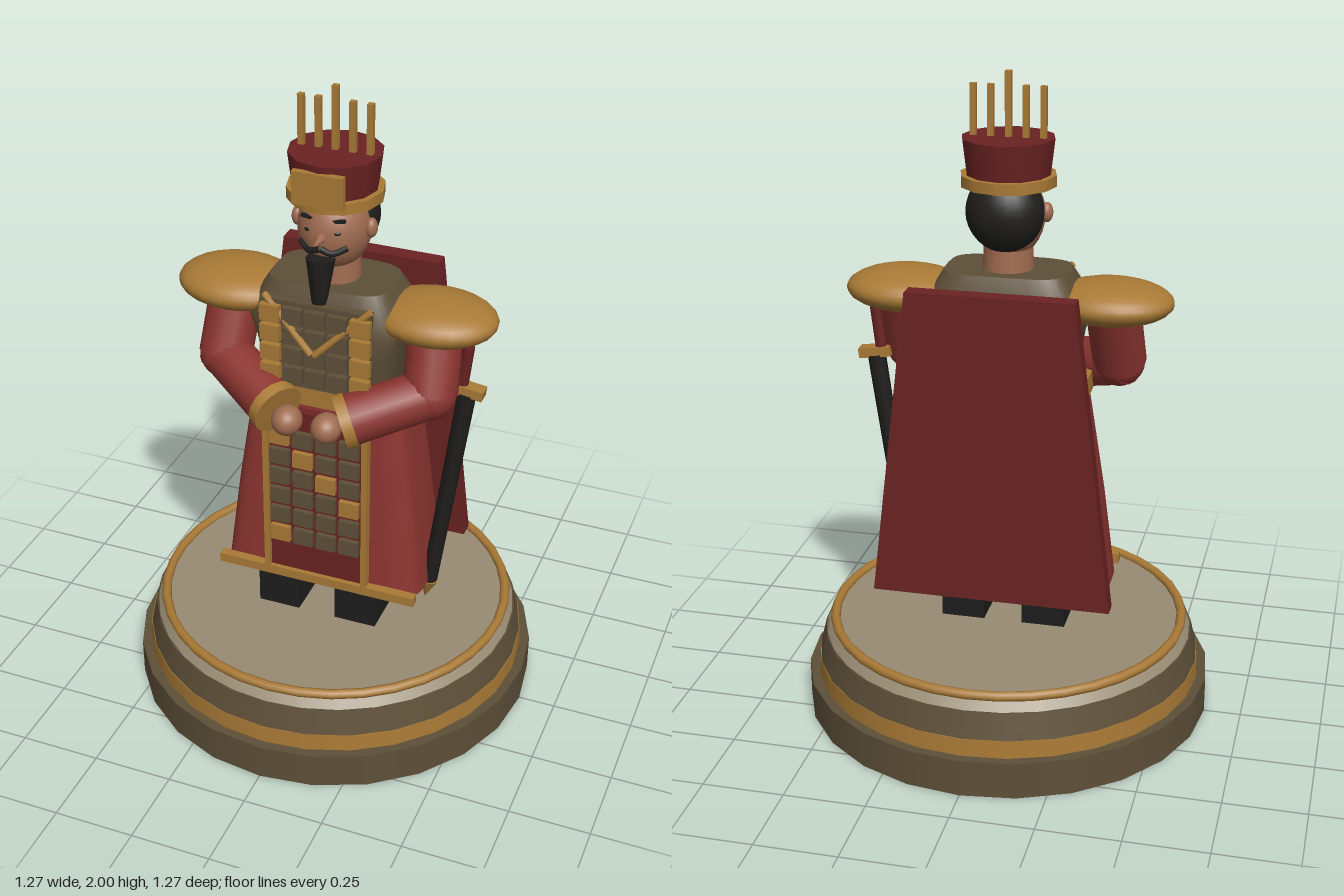
import * as THREE from 'three';
import { toCreasedNormals } from 'three/addons/utils/BufferGeometryUtils.js';

const mat = (color) => new THREE.MeshStandardMaterial({ color });
const RED = mat(0x8c3530), DARK = mat(0x6a2222), GOLD = mat(0xa97a36), OLIVE = mat(0x5e5039),
  STONE = mat(0x988b74), SKIN = mat(0xa06c50), BLACK = mat(0x1f1e1d);
const V = (x, y, z) => new THREE.Vector3(x, y, z);

// Stacked rounded-rectangle sections: rows of [y, halfX, halfZ, centreZ]
function loft(rows, power, n = 32) {
  const pos = [], idx = [];
  const bend = (v) => Math.sign(v) * Math.pow(Math.abs(v), 2 / power);
  for (const [y, hx, hz, cz] of rows) {
    for (let i = 0; i < n; i++) {
      const a = (i / n) * Math.PI * 2;
      pos.push(bend(Math.sin(a)) * hx, y, cz + bend(Math.cos(a)) * hz);
    }
  }
  for (let r = 0; r < rows.length - 1; r++) {
    for (let i = 0; i < n; i++) {
      const a = r * n + i, b = r * n + (i + 1) % n;
      idx.push(a, b, b + n, a, b + n, a + n);
    }
  }
  const top = (rows.length - 1) * n;
  for (let i = 1; i < n - 1; i++) idx.push(0, i + 1, i, top, top + i, top + i + 1);
  const g = new THREE.BufferGeometry();
  g.setAttribute('position', new THREE.Float32BufferAttribute(pos, 3));
  g.setIndex(idx);
  return toCreasedNormals(g, 0.6);
}

export function createModel() {
  const model = new THREE.Group();
  const add = (name, geo, m, x = 0, y = 0, z = 0) => {
    const mesh = new THREE.Mesh(geo, m);
    mesh.name = name;
    mesh.position.set(x, y, z);
    model.add(mesh);
    return mesh;
  };
  const box = (name, m, w, h, d, x, y, z) => add(name, new THREE.BoxGeometry(w, h, d), m, x, y, z);
  const ball = (name, m, rx, ry, rz, x, y, z) => {
    const b = add(name, new THREE.SphereGeometry(1, 24, 16), m, x, y, z);
    b.scale.set(rx, ry, rz);
    return b;
  };
  const drum = (name, m, rTop, rBottom, y0, y1, sides = 24) =>
    add(name, new THREE.CylinderGeometry(rTop, rBottom, y1 - y0, sides), m, 0, (y0 + y1) / 2, 0);
  // Round bar from a to b
  const rod = (name, m, a, b, ra, rb = ra, sides = 16) => {
    const mesh = add(name, new THREE.CylinderGeometry(rb, ra, a.distanceTo(b), sides), m);
    mesh.position.copy(a).lerp(b, 0.5);
    mesh.quaternion.setFromUnitVectors(V(0, 1, 0), b.clone().sub(a).normalize());
    return mesh;
  };

  // Round plinth
  drum('plinthFoot', OLIVE, 0.635, 0.635, 0, 0.115);
  drum('plinthBand', GOLD, 0.602, 0.605, 0.115, 0.17, 28);
  drum('plinthStep', OLIVE, 0.58, 0.6, 0.17, 0.25, 28);
  drum('plinthTop', STONE, 0.545, 0.575, 0.25, 0.285, 32);
  add('plinthRing', new THREE.TorusGeometry(0.548, 0.015, 8, 36), GOLD, 0, 0.288, 0).rotation.x = Math.PI / 2;

  // Robe, torso and belt
  add('robeSkirt', loft([[0.41, 0.325, 0.155, 0], [0.7, 0.29, 0.14, -0.005], [1.04, 0.24, 0.125, -0.015]], 6), RED);
  add('belt', loft([[1.035, 0.25, 0.14, 0], [1.1, 0.25, 0.14, 0]], 5), GOLD);
  add('torso', loft([[1.09, 0.205, 0.12, 0], [1.22, 0.225, 0.14, 0], [1.3, 0.25, 0.148, 0],
    [1.37, 0.215, 0.138, 0], [1.42, 0.185, 0.115, 0]], 4), OLIVE);
  box('robeHem', GOLD, 0.65, 0.03, 0.03, 0, 0.425, 0.165);

  // Front apron with its plates
  box('apron', DARK, 0.32, 0.58, 0.03, 0, 0.73, 0.15);
  for (let i = 0; i < 24; i++) {
    const r = Math.floor(i / 4), c = i % 4;
    box('apronPlate', i % 5 === 0 ? GOLD : OLIVE, 0.063, 0.053, 0.02, -0.114 + c * 0.075, 0.93 - r * 0.071, 0.172);
  }
  // Chest plates, gold on the outer columns
  box('chestBacking', OLIVE, 0.33, 0.28, 0.03, 0, 1.245, 0.14);
  for (let r = 0; r < 4; r++) {
    for (let c = -2; c <= 2; c++) {
      box('chestPlate', Math.abs(c) === 2 ? GOLD : OLIVE, 0.061, 0.052, 0.02, c * 0.07, 1.345 - r * 0.065, 0.165);
    }
  }

  // Paired parts
  for (const s of [1, -1]) {
    box('boot', BLACK, 0.135, 0.14, 0.245, s * 0.128, 0.355, 0.043);
    box('apronEdge', GOLD, 0.018, 0.57, 0.03, s * 0.16, 0.715, 0.165);
    rod('collarTrim', GOLD, V(s * 0.165, 1.395, 0.15), V(s * 0.005, 1.24, 0.185), 0.011, 0.011, 8);
    ball('shoulderGuard', GOLD, 0.187, 0.066, 0.15, s * 0.31, 1.336, 0);

    const elbow = V(s * 0.325, 1.125, 0.08), wrist = V(s * 0.125, 1.06, 0.2);
    const cuffEnd = elbow.clone().lerp(wrist, 1.14);
    rod('upperSleeve', RED, V(s * 0.315, 1.32, 0), elbow, 0.082);
    ball('elbow', RED, 0.078, 0.078, 0.078, elbow.x, elbow.y, elbow.z);
    rod('lowerSleeve', RED, elbow.clone().lerp(wrist, -0.12), wrist, 0.075, 0.078);
    rod('cuff', GOLD, wrist, cuffEnd, 0.083);
    ball('hand', SKIN, 0.046, 0.046, 0.05, s * 0.062, 1.035, 0.235);

    // Face details
    ball('ear', SKIN, 0.018, 0.03, 0.022, s * 0.113, 1.59, 0.01);
    ball('eye', BLACK, 0.016, 0.008, 0.01, s * 0.04, 1.6, 0.1);
    const brow = box('eyebrow', BLACK, 0.05, 0.009, 0.012, s * 0.042, 1.635, 0.096);
    brow.rotation.z = s * 0.15;
    const curl = new THREE.CatmullRomCurve3([V(0, 1.553, 0.122), V(s * 0.035, 1.542, 0.118), V(s * 0.072, 1.555, 0.092)]);
    add('moustache', new THREE.TubeGeometry(curl, 8, 0.009, 6), BLACK);
  }

  // Head
  drum('neck', SKIN, 0.072, 0.078, 1.4, 1.52, 16);
  ball('head', SKIN, 0.108, 0.13, 0.115, 0, 1.58, 0.005);
  ball('hair', BLACK, 0.116, 0.12, 0.1, 0, 1.6, -0.045);
  rod('nose', SKIN, V(0, 1.585, 0.1), V(0, 1.582, 0.165), 0.02, 0.002, 8);
  rod('beard', BLACK, V(0, 1.525, 0.118), V(0, 1.385, 0.13), 0.043, 0.022, 10);

  // Hat with five upright rods
  drum('hatBand', GOLD, 0.143, 0.143, 1.67, 1.703, 12);
  drum('hatCrown', DARK, 0.138, 0.125, 1.7, 1.81, 12);
  box('hatPlate', GOLD, 0.155, 0.1, 0.02, 0, 1.74, 0.134);
  for (let i = -2; i <= 2; i++) {
    const top = i === 0 ? 2 : 1.96;
    box('hatRod', GOLD, 0.018, top - 1.79, 0.018, i * 0.052, (top + 1.79) / 2, 0);
  }

  // Sheathed sword on the left hip
  rod('scabbard', BLACK, V(0.322, 0.4, 0.01), V(0.418, 1.11, 0.01), 0.024, 0.028, 10);
  rod('scabbardTip', GOLD, V(0.308, 0.33, 0.01), V(0.322, 0.4, 0.01), 0.002, 0.028, 10);
  box('swordGuard', GOLD, 0.1, 0.03, 0.045, 0.42, 1.12, 0.01).rotation.z = -0.13;
  rod('swordGrip', DARK, V(0.4, 1.12, 0.01), V(0.417, 1.265, 0.01), 0.018, 0.018, 10);

  // Tapered back panel
  const panel = new THREE.Shape([[-0.365, 0.44], [0.365, 0.44], [0.25, 1.4], [-0.25, 1.4]].map((p) => new THREE.Vector2(...p)));
  add('backPanel', new THREE.ExtrudeGeometry(panel, { depth: 0.052, bevelEnabled: false }), DARK, 0, 0, -0.252);

  return model;
}
